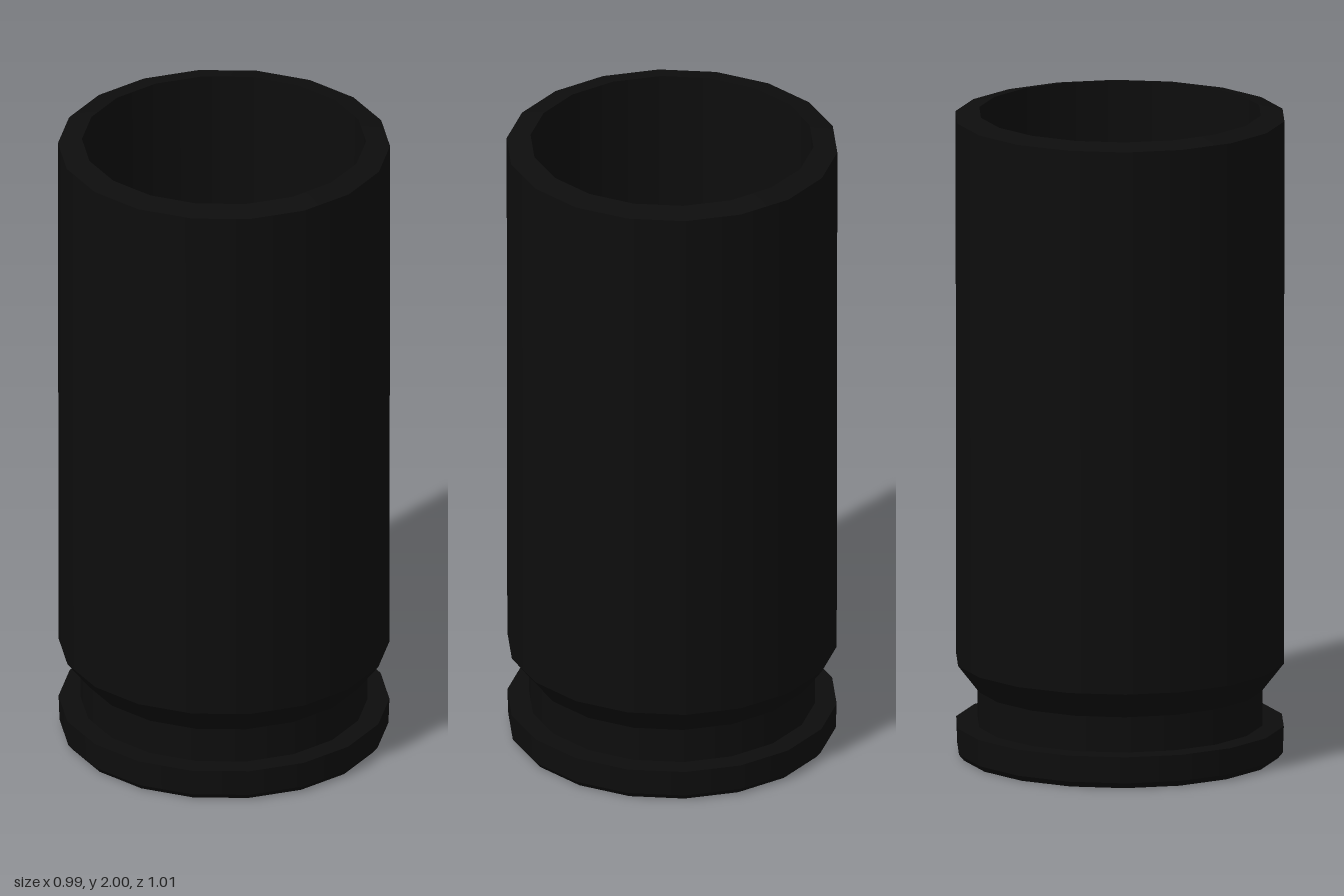
import * as THREE from 'three';

const SIDES = 18;

export function createModel() {
  const group = new THREE.Group();
  group.name = 'cartridgeCase';
  const blackMetal = new THREE.MeshStandardMaterial({ color: 0x0d0d0d });
  blackMetal.name = 'blackMetal';

  // Each profile runs up the outside, over the lip and down the inside;
  // every straight run is its own lathe, so rings stay sharp and walls smooth
  function addPart(name, profile) {
    const part = new THREE.Group();
    part.name = name;
    for (let i = 0; i < profile.length - 1; i++) {
      const run = [profile[i], profile[i + 1]].map(([r, y]) => new THREE.Vector2(r, y));
      const mesh = new THREE.Mesh(new THREE.LatheGeometry(run, SIDES), blackMetal);
      mesh.name = name + 'Surface' + (i + 1);
      part.add(mesh);
    }
    group.add(part);
  }

  // Flat base with a small chamfer and the rim flange
  addPart('baseRim', [[0, 0], [0.485, 0], [0.5, 0.018], [0.503, 0.1], [0.437, 0.1]]);
  // Extractor groove and its sloping shoulder
  addPart('extractorGroove', [[0.437, 0.1], [0.437, 0.21], [0.503, 0.295]]);
  // Outer wall, widening very slightly to the mouth
  addPart('outerWall', [[0.503, 0.295], [0.505, 1.985]]);
  // Sloping lip around the open mouth
  addPart('mouthLip', [[0.505, 1.985], [0.432, 2]]);
  // Hollow inside with a closed floor
  addPart('innerWall', [[0.432, 2], [0.425, 0.3], [0, 0.3]]);

  return group;
}
